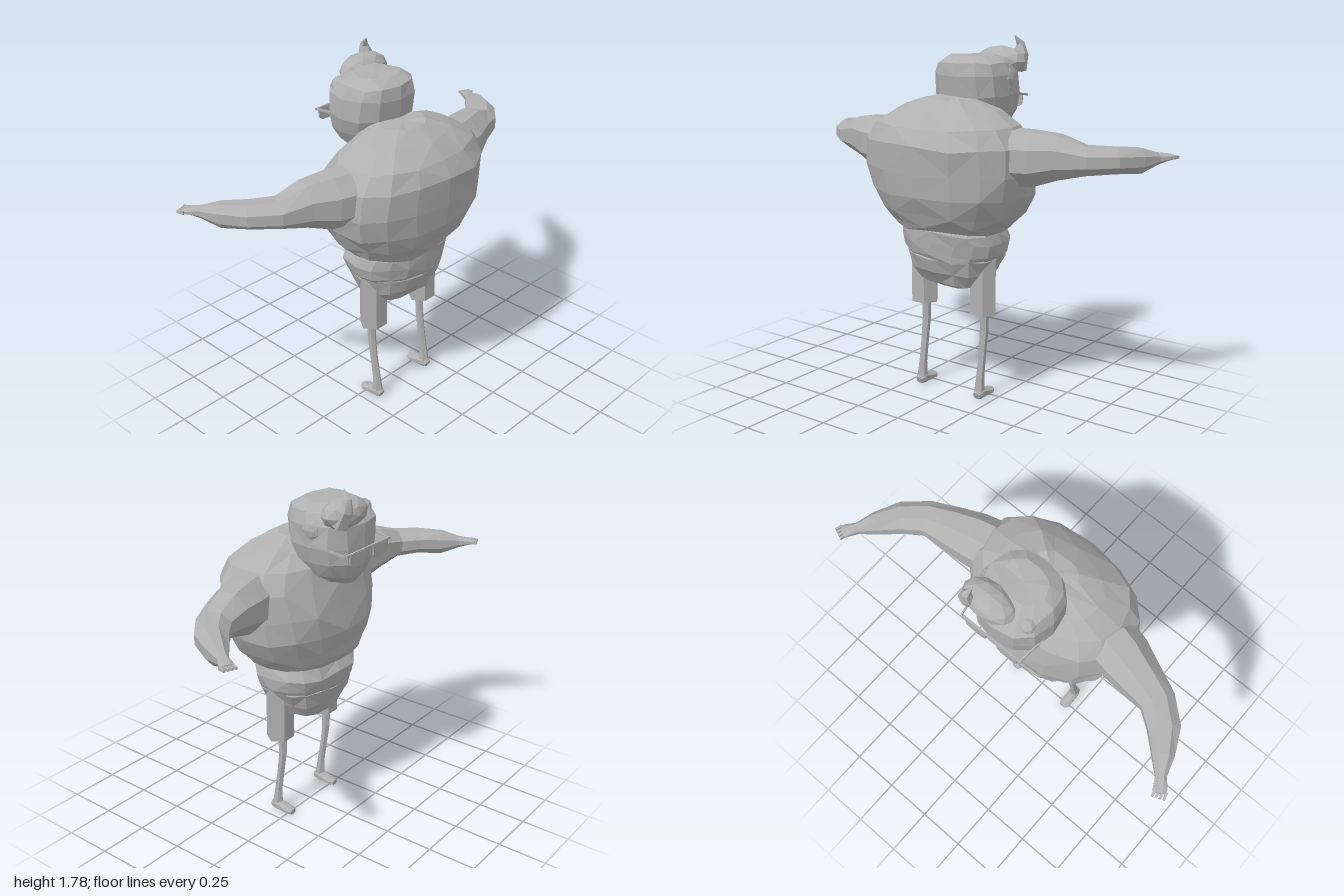
import * as THREE from 'three';

const V = (x, y, z) => new THREE.Vector3(x, y, z);
const grey = new THREE.MeshStandardMaterial({ color: 0xb0b0b0 });

let seed = 7;
function rand() {
  seed = (seed * 16807) % 2147483647;
  return seed / 2147483647 - 0.5;
}

// Faceted mesh with hard normals
function add(parent, name, geometry) {
  const g = geometry.index ? geometry.toNonIndexed() : geometry;
  g.computeVertexNormals();
  const mesh = new THREE.Mesh(g, grey);
  mesh.name = name;
  parent.add(mesh);
  return mesh;
}

// Closed loft through rings [x, y, z, radius along ref, radius across]
function loft(rings, ref, { sides = 8, power = 2, jitter = 0, axis = null, phase = Math.PI / sides } = {}) {
  const pos = [], idx = [];
  const centres = rings.map(r => V(r[0], r[1], r[2]));
  const last = rings.length - 1;
  const soft = t => Math.sign(t) * Math.pow(Math.abs(t), 2 / power);
  rings.forEach((r, i) => {
    const w = axis ? axis.clone() :
      centres[Math.min(i + 1, last)].clone().sub(centres[Math.max(i - 1, 0)]).normalize();
    const u = ref.clone().addScaledVector(w, -ref.dot(w)).normalize();
    const v = w.clone().cross(u);
    for (let j = 0; j < sides; j++) {
      const a = phase + j / sides * Math.PI * 2;
      const p = centres[i].clone()
        .addScaledVector(u, r[3] * soft(Math.cos(a)) + rand() * jitter)
        .addScaledVector(v, r[4] * soft(Math.sin(a)) + rand() * jitter)
        .addScaledVector(w, rand() * jitter);
      pos.push(p.x, p.y, p.z);
    }
  });
  for (let i = 0; i < last; i++) for (let j = 0; j < sides; j++) {
    const k = (j + 1) % sides;
    const a = i * sides + j, b = i * sides + k, c = b + sides, d = a + sides;
    if ((i + j) % 2) idx.push(a, b, c, a, c, d);
    else idx.push(a, b, d, b, c, d);
  }
  const n = rings.length * sides;
  for (const c of [centres[0], centres[last]]) pos.push(c.x, c.y, c.z);
  for (let j = 0; j < sides; j++) {
    const k = (j + 1) % sides;
    idx.push(n, k, j, n + 1, last * sides + j, last * sides + k);
  }
  const g = new THREE.BufferGeometry();
  g.setAttribute('position', new THREE.Float32BufferAttribute(pos, 3));
  g.setIndex(idx);
  return g;
}

// Upright loft from [y, half width, z front, z back]
function stack(rows, x, options) {
  const rings = rows.map(([y, w, z0, z1]) => [x, y, (z0 + z1) / 2, w, (z1 - z0) / 2]);
  return loft(rings, V(1, 0, 0), { axis: V(0, 1, 0), phase: 0, ...options });
}

function blob(parent, name, p, s) {
  const g = new THREE.IcosahedronGeometry(1, 1);
  g.scale(...s);
  g.translate(...p);
  return add(parent, name, g);
}

function bar(parent, name, size, p) {
  const mesh = add(parent, name, new THREE.BoxGeometry(...size));
  mesh.position.set(...p);
  return mesh;
}

export function createModel() {
  const model = new THREE.Group();
  model.name = 'figure';

  // Heavy torso, waist roll and hips
  const body = { sides: 16, power: 2.3, jitter: 0.018 };
  add(model, 'torso', stack([
    [0.87, 0.29, -0.18, 0.26], [0.90, 0.32, -0.2, 0.28], [0.96, 0.37, -0.21, 0.315],
    [1.05, 0.42, -0.23, 0.35], [1.16, 0.445, -0.215, 0.365], [1.29, 0.435, -0.19, 0.375],
    [1.38, 0.38, -0.14, 0.33], [1.45, 0.26, -0.09, 0.25], [1.5, 0.13, -0.02, 0.16]], 0, body));
  add(model, 'waist', stack([
    [0.72, 0.25, -0.165, 0.22], [0.75, 0.265, -0.175, 0.225], [0.81, 0.285, -0.185, 0.24],
    [0.86, 0.265, -0.165, 0.25], [0.9, 0.25, -0.15, 0.22]], 0, body));
  add(model, 'hips', stack([
    [0.55, 0.07, -0.07, 0.06], [0.585, 0.18, -0.12, 0.16], [0.65, 0.22, -0.15, 0.195],
    [0.73, 0.255, -0.17, 0.225], [0.78, 0.22, -0.14, 0.2]], 0, body));

  // Head
  const head = new THREE.Group();
  head.name = 'head';
  model.add(head);
  add(head, 'skull', stack([
    [1.305, 0.07, -0.26, -0.1], [1.35, 0.14, -0.295, -0.05], [1.42, 0.18, -0.32, 0.0],
    [1.5, 0.2, -0.33, 0.045], [1.6, 0.2, -0.325, 0.055], [1.655, 0.175, -0.28, 0.045],
    [1.69, 0.11, -0.2, -0.01]], 0.01, { sides: 12, power: 2.3, jitter: 0.012 }));

  // Hair: quiff, curled tuft and side locks
  blob(head, 'quiff', [0.075, 1.655, -0.255], [0.14, 0.075, 0.085]);
  add(head, 'tuft', loft([
    [0.15, 1.62, -0.28, 0.05, 0.05], [0.15, 1.69, -0.315, 0.04, 0.035],
    [0.145, 1.74, -0.32, 0.02, 0.02], [0.13, 1.78, -0.29, 0.002, 0.002]], V(1, 0, 0), { sides: 6 }));
  blob(head, 'smallCurl', [-0.11, 1.63, -0.225], [0.045, 0.04, 0.04]);
  blob(head, 'sideLock', [0.175, 1.58, -0.15], [0.038, 0.06, 0.055]);

  // Glasses
  const glasses = new THREE.Group();
  glasses.name = 'glasses';
  head.add(glasses);
  bar(glasses, 'browBar', [0.34, 0.01, 0.01], [0, 1.487, -0.338]);
  for (const s of [-1, 1]) {
    const lens = new THREE.Shape([[-0.06, 0.03], [0.06, 0.03], [0.055, -0.02], [0.035, -0.035],
      [-0.035, -0.035], [-0.055, -0.02]].map(p => new THREE.Vector2(...p)));
    const plate = add(glasses, 'lens', new THREE.ExtrudeGeometry(lens, { depth: 0.008, bevelEnabled: false }));
    plate.position.set(s * 0.09, 1.458, -0.345);
    const temple = bar(glasses, 'temple', [0.008, 0.01, 0.19], [s * 0.18 + 0.008, 1.5, -0.245]);
    temple.rotation.set(-0.15, s * 0.12, 0);
  }

  for (const s of [-1, 1]) {
    const side = s > 0 ? 'left' : 'right';

    // Arm bending forward to a narrow wrist and flat hand
    const arm = new THREE.Group();
    arm.name = side + 'Arm';
    model.add(arm);
    add(arm, 'armAndHand', loft([
      [0.37, 1.245, 0.065, 0.14, 0.135], [0.46, 1.245, 0.045, 0.138, 0.13], [0.58, 1.258, 0.01, 0.11, 0.108],
      [0.70, 1.25, -0.02, 0.072, 0.088], [0.80, 1.25, -0.1, 0.064, 0.08], [0.875, 1.243, -0.2, 0.063, 0.054],
      [0.925, 1.247, -0.28, 0.03, 0.027], [0.953, 1.25, -0.32, 0.018, 0.034],
      [0.965, 1.25, -0.34, 0.014, 0.034]].map(([x, ...r]) => [s * x, ...r]), V(0, 1, 0)));
    for (let f = 0; f < 4; f++) {
      const x = 0.942 + f * 0.015, z = -0.338 + f * 0.007;
      add(arm, 'finger', loft([
        [s * x, 1.25, z, 0.012, 0.01],
        [s * (x + 0.005 + f * 0.002), 1.25, z - 0.035, 0.008, 0.007]], V(0, 1, 0), { sides: 4 }));
    }

    // Shorts leg, thin calf and foot
    const leg = new THREE.Group();
    leg.name = side + 'Leg';
    model.add(leg);
    const x = s * 0.18;
    add(leg, 'shortsLeg', stack([[0.445, 0.075, -0.018, 0.115], [0.75, 0.075, -0.018, 0.115]],
      x, { sides: 6 }));
    add(leg, 'calf', loft([
      [x, 0.47, 0.035, 0.024, 0.024], [x, 0.35, 0.034, 0.021, 0.022], [x, 0.24, 0.048, 0.019, 0.02],
      [x, 0.12, 0.066, 0.019, 0.022], [x, 0.02, 0.074, 0.028, 0.03]], V(1, 0, 0), { sides: 6 }));
    add(leg, 'foot', loft([
      [x, 0.02, 0.1, 0.02, 0.02], [x, 0.03, 0.075, 0.032, 0.03], [x, 0.022, 0.025, 0.023, 0.03],
      [x, 0.018, -0.01, 0.019, 0.032], [x, 0.017, -0.03, 0.015, 0.02]], V(0, 1, 0)));
  }
  return model;
}
